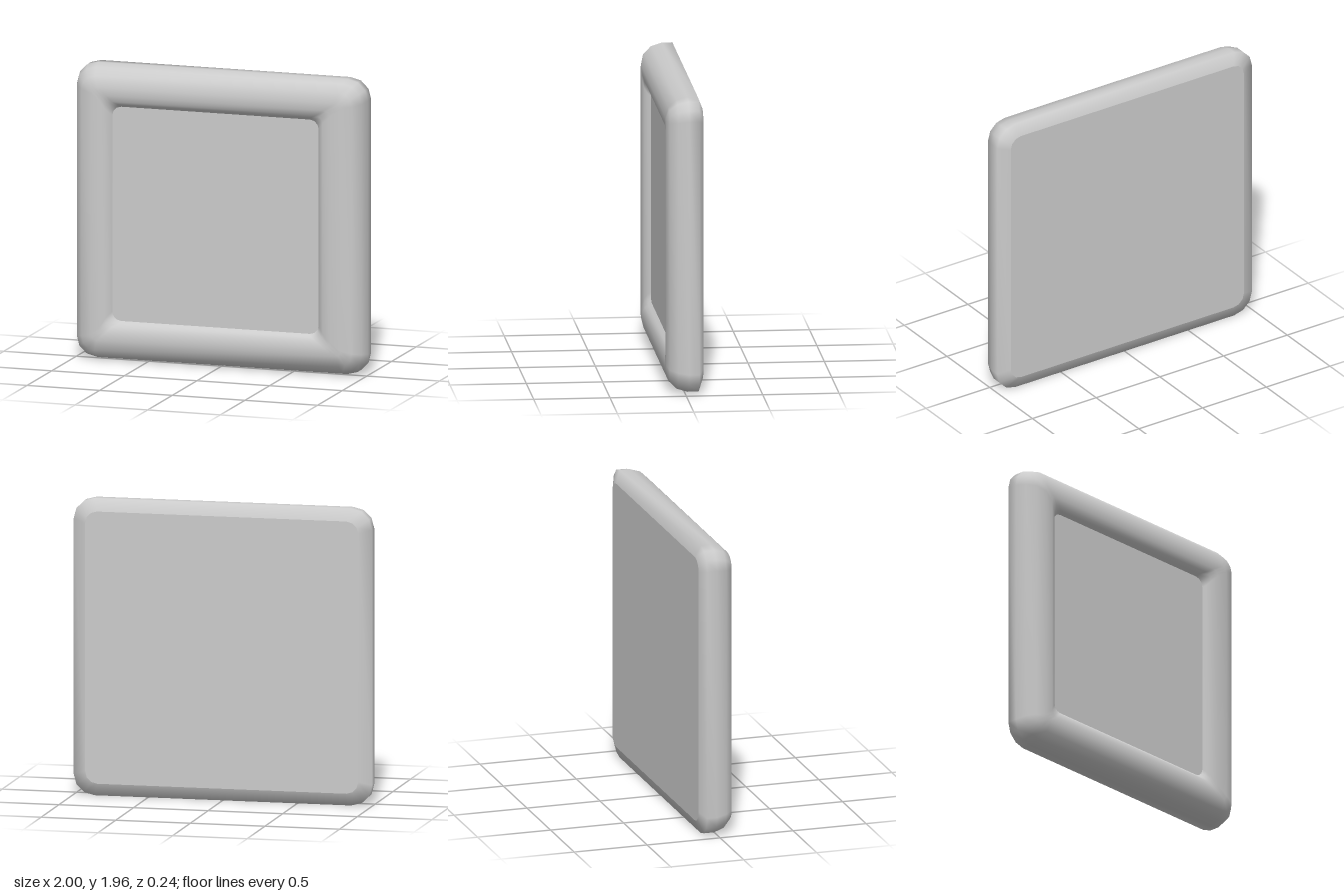
import * as THREE from 'three';

const CENTRE_Y = 0.982;
const CORNER_STEPS = 3;

// Counter-clockwise rounded rectangle, as seen from the front
function ring(halfW, halfH, radius, cx = 0) {
  const points = [];
  [[1, 1], [-1, 1], [-1, -1], [1, -1]].forEach(([sx, sy], corner) => {
    for (let k = 0; k <= CORNER_STEPS; k++) {
      const a = (corner + k / CORNER_STEPS) * Math.PI / 2;
      points.push(new THREE.Vector2(
        cx + sx * (halfW - radius) + radius * Math.cos(a),
        CENTRE_Y + sy * (halfH - radius) + radius * Math.sin(a)));
    }
  });
  return points;
}

// Skin between successive rings, smooth shaded
function loft(sections) {
  const position = [], index = [];
  let n = 0;
  sections.forEach(({ points, z }) => {
    n = points.length;
    points.forEach((p) => position.push(p.x, p.y, z));
  });
  for (let i = 0; i < sections.length - 1; i++) {
    for (let j = 0; j < n; j++) {
      const a = i * n + j, b = i * n + (j + 1) % n;
      index.push(a, b, b + n, a, b + n, a + n);
    }
  }
  const geometry = new THREE.BufferGeometry();
  geometry.setAttribute('position', new THREE.Float32BufferAttribute(position, 3));
  geometry.setIndex(index);
  geometry.computeVertexNormals();
  return geometry;
}

export function createModel() {
  const group = new THREE.Group();
  const material = new THREE.MeshStandardMaterial({ color: 0xcccccc });
  const add = (name, geometry) => {
    const mesh = new THREE.Mesh(geometry, material);
    mesh.name = name;
    group.add(mesh);
    return mesh;
  };

  // Frame cross-section from the back edge, around the outside, to the panel:
  // half width, half height, corner radius, z, x shift
  const profile = [
    [0.915, 0.90, 0.08, -0.12, 0],
    [1.0, 0.982, 0.14, -0.088, 0],
    [1.0, 0.982, 0.14, -0.02, 0],
    [0.98, 0.962, 0.13, 0.05, 0],
    [0.93, 0.912, 0.09, 0.102, 0],
    [0.86, 0.842, 0.04, 0.12, 0],
    [0.79, 0.79, 0.04, 0.117, -0.01],
    [0.75, 0.75, 0.05, 0.105, -0.02],
    [0.725, 0.73, 0.06, 0.085, -0.02],
    [0.71, 0.713, 0.06, 0.065, -0.02],
  ];
  const sections = profile.map(([w, h, r, z, cx]) => ({ points: ring(w, h, r, cx), z }));
  add('frame', loft(sections));

  // Flat recessed panel on the front
  const inner = sections[sections.length - 1];
  add('frontPanel', new THREE.ShapeGeometry(new THREE.Shape(inner.points))).position.z = inner.z;

  // Flat back plate, turned to face backwards
  const back = add('backPlate', new THREE.ShapeGeometry(new THREE.Shape(sections[0].points)));
  back.rotation.y = Math.PI;
  back.position.z = sections[0].z;

  return group;
}
